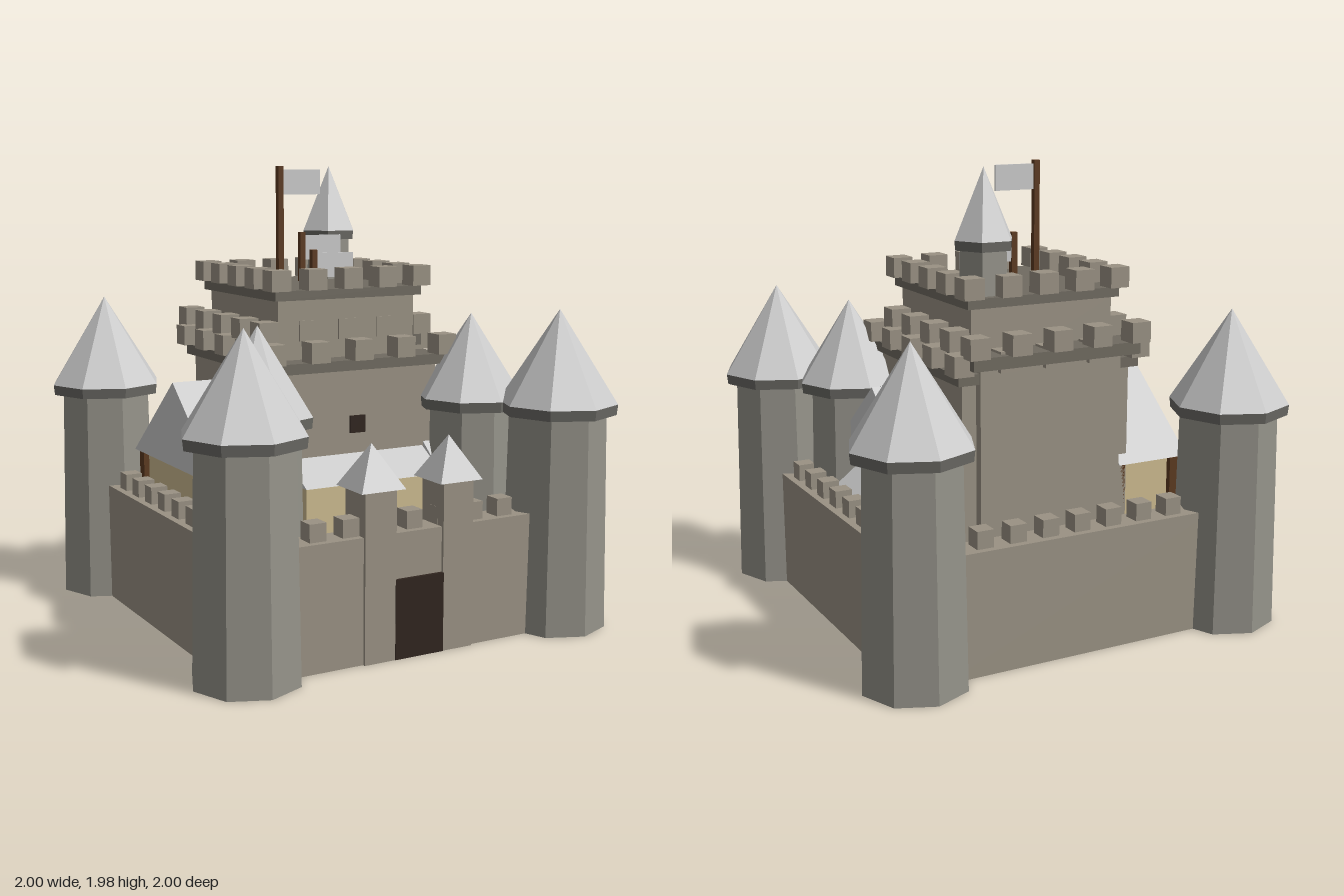
import * as THREE from 'three';

const mat = (color) => new THREE.MeshStandardMaterial({ color, flatShading: true });
const stone = mat(0x9a9284), towerStone = mat(0x95938a), ledgeStone = mat(0x706b61), rimStone = mat(0x6b6a65);
const roofGrey = mat(0xcccccc), plaster = mat(0xcdbb90), wood = mat(0x5c3a20), dark = mat(0x30251f);

function add(parent, name, geometry, material, x = 0, y = 0, z = 0) {
  const mesh = new THREE.Mesh(geometry, material);
  mesh.name = name;
  mesh.position.set(x, y, z);
  parent.add(mesh);
  return mesh;
}

// Box given by its centre in x and z and its bottom and top in y
function block(parent, name, material, x, z, w, d, y0, y1) {
  return add(parent, name, new THREE.BoxGeometry(w, y1 - y0, d), material, x, (y0 + y1) / 2, z);
}

function group(parent, name) {
  const g = new THREE.Group();
  g.name = name;
  parent.add(g);
  return g;
}

// Faceted tower: tapered body, rim and pointed roof
function tower(parent, name, x, z, o) {
  const g = group(parent, name);
  const part = (label, r1, r0, y0, y1, material) => {
    const geo = new THREE.CylinderGeometry(r1, r0, y1 - y0, o.sides).rotateY(Math.PI / 2);
    add(g, label, geo, material, x, (y0 + y1) / 2, z);
  };
  part('towerBody', o.rTop, o.rBottom, o.base, o.rim, towerStone);
  part('towerRim', o.rRoof, o.rRoof * 0.98, o.rim, o.eave, rimStone);
  part('towerRoof', 0, o.rRoof, o.eave, o.peak, roofGrey);
}

// Keep storey: square body, ledge and a ring of merlons
function storey(parent, name, z, o) {
  const g = group(parent, name);
  block(g, 'storeyBody', stone, 0, z, o.body * 2, o.body * 2, o.y0, o.ledge0);
  block(g, 'storeyLedge', ledgeStone, 0, z, o.ledge * 2, o.ledge * 2, o.ledge0, o.ledge1);
  const n = 4, step = (o.ring * 2) / n;
  for (let i = 0; i <= n; i++) for (let j = 0; j <= n; j++) {
    if (i % n && j % n) continue;
    block(g, 'merlon', stone, -o.ring + i * step, z - o.ring + j * step, 0.09, 0.09, o.ledge1, o.ledge1 + 0.088);
  }
}

// Solid with a side profile of [z, y] points, running from x0 to x1
function profileAlongX(parent, name, material, points, x0, x1) {
  const shape = new THREE.Shape(points.map(([z, y]) => new THREE.Vector2(z, y)));
  const geo = new THREE.ExtrudeGeometry(shape, { depth: x1 - x0, bevelEnabled: false }).rotateY(-Math.PI / 2);
  return add(parent, name, geo, material, x1);
}

// Gabled house with plaster walls and corner posts
function house(parent, name, o) {
  const g = group(parent, name);
  const inset = 0.06, cx = (o.x0 + o.x1) / 2, w = o.x1 - o.x0 - 0.06, half = o.half - inset;
  block(g, 'houseWalls', plaster, cx, o.z, w, half * 2 - 0.02, 0, o.eave);
  for (const sx of [-1, 1]) for (const sz of [-1, 1])
    block(g, 'housePost', wood, cx + sx * w / 2, o.z + sz * (half - 0.01), 0.05, 0.05, 0, o.eave);
  profileAlongX(g, 'gableRoof', roofGrey, [[o.z - o.half, o.eave], [o.z + o.half, o.eave], [o.z, o.ridge]], o.x0, o.x1);
}

export function createModel() {
  const castle = new THREE.Group();
  castle.name = 'castle';

  // Outer walls with merlons
  const walls = group(castle, 'outerWalls');
  for (const s of [-1, 1]) {
    block(walls, 'crossWall', stone, 0, s * 0.745, 1.3, 0.135, 0, 0.525);
    block(walls, 'sideWall', stone, s * 0.745, 0, 0.135, 1.3, 0, 0.525);
    for (let i = -3; i <= 3; i++) {
      block(walls, 'wallMerlon', stone, i * 0.149, s * 0.745, 0.075, 0.075, 0.525, 0.6);
      block(walls, 'wallMerlon', stone, s * 0.745, i * 0.149, 0.075, 0.075, 0.525, 0.6);
    }
  }

  // Corner towers and the inner pair
  for (const sx of [-1, 1]) {
    for (const sz of [-1, 1])
      tower(castle, 'cornerTower', sx * 0.745, sz * 0.745,
        { sides: 8, rTop: 0.208, rBottom: 0.225, rRoof: 0.255, base: 0, rim: 0.935, eave: 0.98, peak: 1.38 });
    tower(castle, 'innerTower', sx * 0.522, 0.41,
      { sides: 8, rTop: 0.185, rBottom: 0.2, rRoof: 0.235, base: 0, rim: 0.935, eave: 0.98, peak: 1.345 });
  }

  // Gatehouse
  const gate = group(castle, 'gatehouse');
  block(gate, 'gateDoor', dark, 0, 0.76, 0.23, 0.135, 0, 0.335);
  for (const s of [-1, 1]) {
    block(gate, 'gateTower', stone, s * 0.185, 0.745, 0.145, 0.16, 0, 0.71);
    const roof = new THREE.ConeGeometry(0.102 * Math.SQRT2, 0.18, 4).rotateY(Math.PI / 4);
    add(gate, 'gateTowerRoof', roof, roofGrey, s * 0.185, 0.8, 0.745);
  }

  // Inner wall and its door
  block(castle, 'innerWall', stone, 0, 0.55, 0.9, 0.08, 0, 0.45);
  block(castle, 'innerDoor', dark, 0, 0.585, 0.19, 0.06, 0, 0.27);

  // Keep
  const keep = group(castle, 'keep');
  storey(keep, 'frontKeep', -0.085, { y0: 0, body: 0.4, ledge: 0.43, ring: 0.42, ledge0: 1.12, ledge1: 1.165 });
  storey(keep, 'rearKeep', -0.19, { y0: 0, body: 0.335, ledge: 0.395, ring: 0.38, ledge0: 1.19, ledge1: 1.243 });
  storey(keep, 'upperKeep', -0.105, { y0: 1.1, body: 0.335, ledge: 0.36, ring: 0.345, ledge0: 1.42, ledge1: 1.462 });
  block(keep, 'keepWindow', dark, 0, 0.315, 0.075, 0.02, 0.845, 0.92);
  tower(keep, 'turret', 0.222, -0.335,
    { sides: 6, rTop: 0.108, rBottom: 0.112, rRoof: 0.133, base: 1.46, rim: 1.645, eave: 1.685, peak: 1.98 });

  // Flags
  for (const [x, z, top] of [[-0.15, -0.11, 1.98], [0, -0.185, 1.685], [0, -0.073, 1.61]]) {
    const g = group(keep, 'flag');
    block(g, 'flagPole', wood, x, z, 0.026, 0.026, 1.46, top);
    block(g, 'flagCloth', roofGrey, x + 0.105, z, 0.19, 0.01, top - 0.125, top - 0.015);
  }

  // Hall against the front of the keep
  const hall = group(castle, 'hall');
  block(hall, 'hallWalls', plaster, 0, 0.36, 0.64, 0.18, 0, 0.66);
  block(hall, 'hallDoor', wood, 0, 0.45, 0.05, 0.02, 0.4, 0.66);
  block(hall, 'hallBay', plaster, 0, 0.47, 0.42, 0.1, 0, 0.4);
  profileAlongX(hall, 'hallRoof', roofGrey, [[0.3, 0.66], [0.48, 0.66], [0.3, 0.765]], -0.335, 0.335);

  // Side houses and a lean-to
  house(castle, 'leftHouse', { x0: -0.69, x1: -0.34, z: -0.075, half: 0.455, eave: 0.69, ridge: 1.06 });
  house(castle, 'rightHouse', { x0: 0.34, x1: 0.59, z: 0, half: 0.455, eave: 0.66, ridge: 1.03 });
  const leanTo = group(castle, 'leanTo');
  block(leanTo, 'leanToWalls', plaster, 0.6, 0.06, 0.11, 0.32, 0, 0.53);
  const shed = new THREE.Shape([[0.55, 0.53], [0.68, 0.53], [0.55, 0.63]].map(([x, y]) => new THREE.Vector2(x, y)));
  add(leanTo, 'leanToRoof', new THREE.ExtrudeGeometry(shed, { depth: 0.37, bevelEnabled: false }), roofGrey, 0, 0, -0.125);

  return castle;
}
